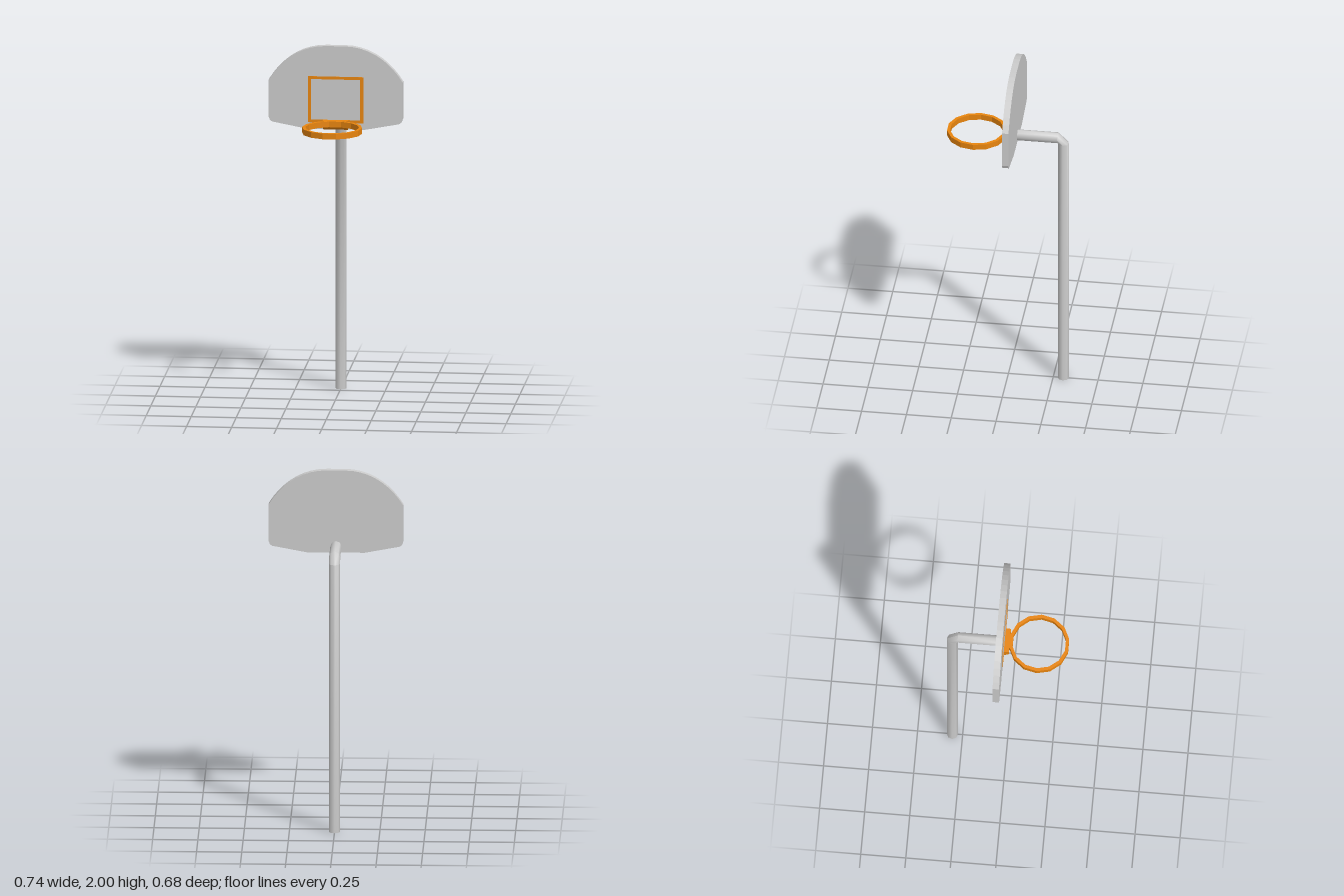
import * as THREE from 'three';
import { toCreasedNormals } from 'three/addons/utils/BufferGeometryUtils.js';

const grey = new THREE.MeshStandardMaterial({ color: 0xcccccc });
const orange = new THREE.MeshStandardMaterial({ color: 0xe8850f });

function add(parent, name, geometry, material) {
  const mesh = new THREE.Mesh(geometry, material);
  mesh.name = name;
  parent.add(mesh);
  return mesh;
}

const extrude = (shape, depth) =>
  new THREE.ExtrudeGeometry(shape, { depth, bevelEnabled: false, curveSegments: 9 });

// Eight-sided pipe: upright post, single-facet elbow, arm running forward
function postGeometry() {
  const sides = 8, r = 0.031, z0 = -0.307, yArm = 1.565;
  const sections = [
    { y: 0, z: z0, up: false },
    { y: yArm - r, z: z0, up: false },
    { y: yArm, z: z0 + r, up: true },
    { y: yArm, z: -0.045, up: true },
  ];
  const positions = [], index = [];
  for (const s of sections) {
    for (let i = 0; i < sides; i++) {
      const a = (i / sides) * Math.PI * 2;
      const c = Math.cos(a) * r, d = Math.sin(a) * r;
      positions.push(c, s.y + (s.up ? d : 0), s.z - (s.up ? 0 : d));
    }
  }
  for (let k = 0; k < sections.length - 1; k++) {
    for (let i = 0; i < sides; i++) {
      const j = (i + 1) % sides, a = k * sides, b = a + sides;
      index.push(a + i, a + j, b + j, a + i, b + j, b + i);
    }
  }
  // End caps
  const last = (sections.length - 1) * sides;
  for (let i = 1; i < sides - 1; i++) {
    index.push(0, i + 1, i, last, last + i, last + i + 1);
  }
  const g = new THREE.BufferGeometry();
  g.setAttribute('position', new THREE.Float32BufferAttribute(positions, 3));
  g.setIndex(index);
  return toCreasedNormals(g, 0.85);
}

// Fan-shaped board with rounded top and shallow V bottom
function boardShape() {
  const s = new THREE.Shape();
  s.moveTo(-0.16, 1.53);
  s.lineTo(0.16, 1.53);
  s.lineTo(0.352, 1.566);
  s.lineTo(0.365, 1.575);
  s.lineTo(0.372, 1.592);
  s.lineTo(0.372, 1.803);
  s.bezierCurveTo(0.3, 1.92, 0.19, 2.0, 0.05, 2.0);
  s.lineTo(-0.05, 2.0);
  s.bezierCurveTo(-0.19, 2.0, -0.3, 1.92, -0.372, 1.803);
  s.lineTo(-0.372, 1.592);
  s.lineTo(-0.365, 1.575);
  s.lineTo(-0.352, 1.566);
  s.closePath();
  return s;
}

const polygon = (r, n) => Array.from({ length: n }, (_, i) => {
  const a = (i / n) * Math.PI * 2;
  return new THREE.Vector2(Math.cos(a) * r, Math.sin(a) * r);
});

const rectangle = (x, y0, y1) => [[-x, y0], [x, y0], [x, y1], [-x, y1]]
  .map(([px, py]) => new THREE.Vector2(px, py));

export function createModel() {
  const model = new THREE.Group();
  model.name = 'basketballHoop';

  add(model, 'post', postGeometry(), grey);

  const board = add(model, 'backboard', extrude(boardShape(), 0.036), grey);
  board.position.z = -0.052;

  // Thin target frame on the board face
  const frame = new THREE.Shape(rectangle(0.154, 1.567, 1.828));
  frame.holes.push(new THREE.Path(rectangle(0.136, 1.583, 1.812)));
  add(model, 'targetFrame', extrude(frame, 0.004), orange).position.z = -0.018;

  // Fourteen-sided rim
  const ring = new THREE.Shape(polygon(0.167, 14));
  ring.holes.push(new THREE.Path(polygon(0.149, 14)));
  const rim = add(model, 'rim', extrude(ring, 0.032), orange);
  rim.rotation.x = -Math.PI / 2;
  rim.position.set(0, 1.551, 0.175);

  // Bracket with sloped underside, profile in (z, y) swept across x
  const profile = new THREE.Shape([[0.018, 1.528], [-0.0125, 1.551], [-0.0125, 1.583], [0.018, 1.583]]
    .map(([u, v]) => new THREE.Vector2(u, v)));
  const bracket = add(model, 'rimBracket', extrude(profile, 0.138), orange);
  bracket.rotation.y = Math.PI / 2;
  bracket.position.x = -0.069;

  return model;
}
